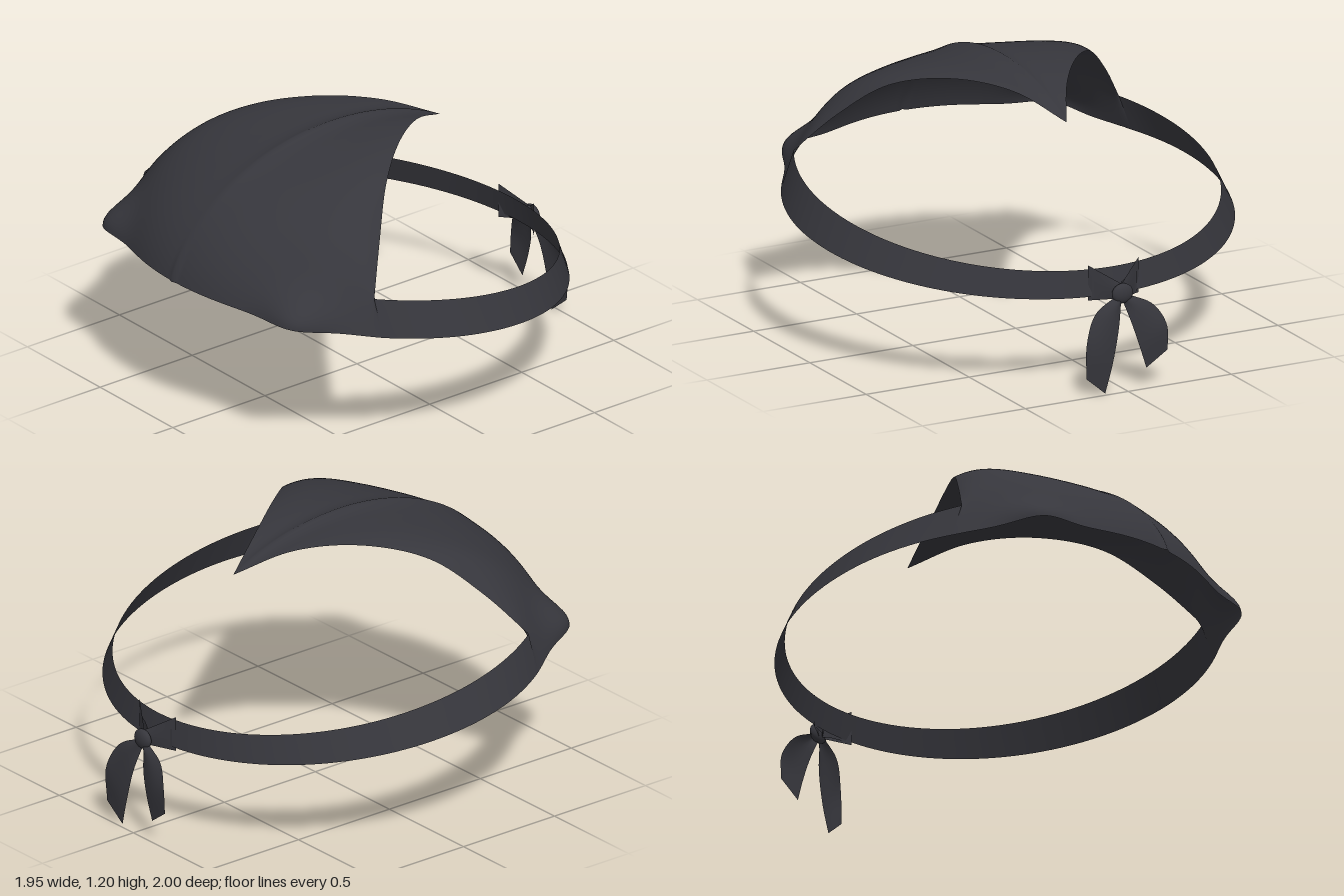
import * as THREE from 'three';

const cloth = new THREE.MeshStandardMaterial({ color: 0x36363c, side: THREE.DoubleSide });
cloth.name = 'charcoal cloth';

const V = (x, y, z) => new THREE.Vector3(x, y, z);
const curve = (pts) => new THREE.CatmullRomCurve3(pts.map((p) => V(...p)));

// Smooth cloth sheet: point(u, v) with u, v in 0..1
function sheet(name, nu, nv, point) {
  const pos = [], idx = [];
  for (let i = 0; i <= nu; i++) {
    for (let j = 0; j <= nv; j++) {
      pos.push(...point(i / nu, j / nv).toArray());
      if (i < nu && j < nv) {
        const a = i * (nv + 1) + j, b = a + nv + 1;
        idx.push(a, b, a + 1, b, b + 1, a + 1);
      }
    }
  }
  const geo = new THREE.BufferGeometry();
  geo.setAttribute('position', new THREE.Float32BufferAttribute(pos, 3));
  geo.setIndex(idx);
  geo.computeVertexNormals();
  const mesh = new THREE.Mesh(geo, cloth);
  mesh.name = name;
  return mesh;
}

// Tilted rim of the band; the angle is measured from the front
const CORNER = 1.06;
function bandBottom(a) {
  const c = Math.cos(a), z = 0.08 + c * (c > 0 ? 0.92 : 0.965);
  return V(0.975 * Math.sin(a), 0.41 + 0.143 * (z + 0.86), z);
}
function bandTop(a) {
  const c = Math.cos(a), z = 0.08 + c * (c > 0 ? 0.92 : 0.94);
  return V(0.905 * Math.sin(a), 0.52 + 0.179 * (z + 0.865), z);
}

// Free rear edge of the kerchief, from the tip to the side corner
const rearEdge = curve([
  [0, 1.05, -0.45], [0.126, 1.14, -0.225], [0.298, 1.16, 0.01],
  [0.49, 1.1, 0.23], [0.65, 0.95, 0.39], bandTop(CORNER).toArray(),
]);

// Domed kerchief: columns run from the front rim up and over to the rear edge
function kerchiefPoint(s, t) {
  const u = s * 2 - 1, n = Math.abs(u), a = u * CORNER;
  const rim = bandBottom(a);
  rim.y += 0.018 * (1 - u * u);
  const end = rearEdge.getPoint(n);
  if (u < 0) end.x *= -1;
  const k = rim.distanceTo(end) / 1.49;
  const rise = 0.3 * Math.exp(-4 * n);
  const p1 = rim.clone().add(V(-0.15 * Math.sin(a), 0.47, -0.15 * Math.cos(a)).multiplyScalar(k));
  const p2 = end.clone().add(V(0.1 * u, rise, 0.55).multiplyScalar(k));
  // Columns straighten at the sides to meet the ends of the band
  const w = n ** 10;
  p1.lerp(rim.clone().lerp(end, 1 / 3), w);
  p2.lerp(rim.clone().lerp(end, 2 / 3), w);
  const p = new THREE.CubicBezierCurve3(rim, p1, p2, end).getPoint(t);
  // Rounded swelling low on each side of the front
  const side = Math.sign(u);
  const dx = p.x - side * 0.6, dy = p.y - 0.68, dz = p.z - 0.8;
  const bump = 0.085 * (1 - w) * Math.exp(-(dx * dx + dz * dz) / 0.021 - (dy * dy) / 0.011);
  return p.add(V(side * 0.62 * bump, 0.12 * bump, 0.78 * bump));
}

// Hanging tail between an inner and an outer edge curve
function tail(name, side, inner, outer) {
  const a = curve(inner), b = curve(outer);
  return sheet(name, 20, 6, (u, v) => {
    const p = a.getPoint(u).lerp(b.getPoint(u), v);
    p.z -= 0.018 * Math.sin(Math.PI * v) * (1 - u);
    p.x *= side;
    return p;
  });
}

export function createModel() {
  const group = new THREE.Group();
  group.name = 'bandana';

  group.add(sheet('kerchief', 96, 48, kerchiefPoint));

  // Band around the back of the head
  group.add(sheet('band', 96, 4, (u, v) => {
    const a = CORNER + u * (2 * Math.PI - 2 * CORNER);
    return bandBottom(a).lerp(bandTop(a), v);
  }));

  // Flared ears and gathered straps either side of the knot
  for (const side of [1, -1]) {
    group.add(sheet(side > 0 ? 'leftEar' : 'rightEar', 8, 6, (u, v) => {
      const low = 0.4 - 0.012 * u, high = 0.465 + 0.08 * u;
      const fold = 0.008 * Math.sin(v * Math.PI) * (1 - u);
      return V(side * 0.122 * u, low + (high - low) * v, -0.94 + 0.074 * u - fold);
    }));
    group.add(sheet(side > 0 ? 'leftStrap' : 'rightStrap', 8, 3, (u, v) =>
      V(side * 0.11 * u, 0.4 + 0.06 * v + 0.03 * u * v, -0.93 + 0.052 * Math.sqrt(u))));
  }

  // Knot
  const knot = new THREE.Mesh(new THREE.SphereGeometry(1, 24, 16), cloth);
  knot.name = 'knot';
  knot.scale.set(0.05, 0.044, 0.024);
  knot.position.set(0, 0.425, -0.948);
  group.add(knot);

  // Tails: the left one hangs lower
  group.add(tail('leftTail', 1,
    [[0.005, 0.385, -0.945], [0.03, 0.28, -0.972], [0.065, 0.13, -0.982], [0.1, 0, -0.978]],
    [[0.03, 0.415, -0.945], [0.14, 0.355, -0.964], [0.195, 0.24, -0.99], [0.195, 0.08, -0.985]]));
  group.add(tail('rightTail', -1,
    [[0.005, 0.385, -0.945], [0.03, 0.3, -0.97], [0.065, 0.19, -0.98], [0.1, 0.085, -0.978]],
    [[0.03, 0.415, -0.945], [0.14, 0.36, -0.964], [0.192, 0.27, -0.99], [0.198, 0.155, -0.988]]));

  return group;
}
